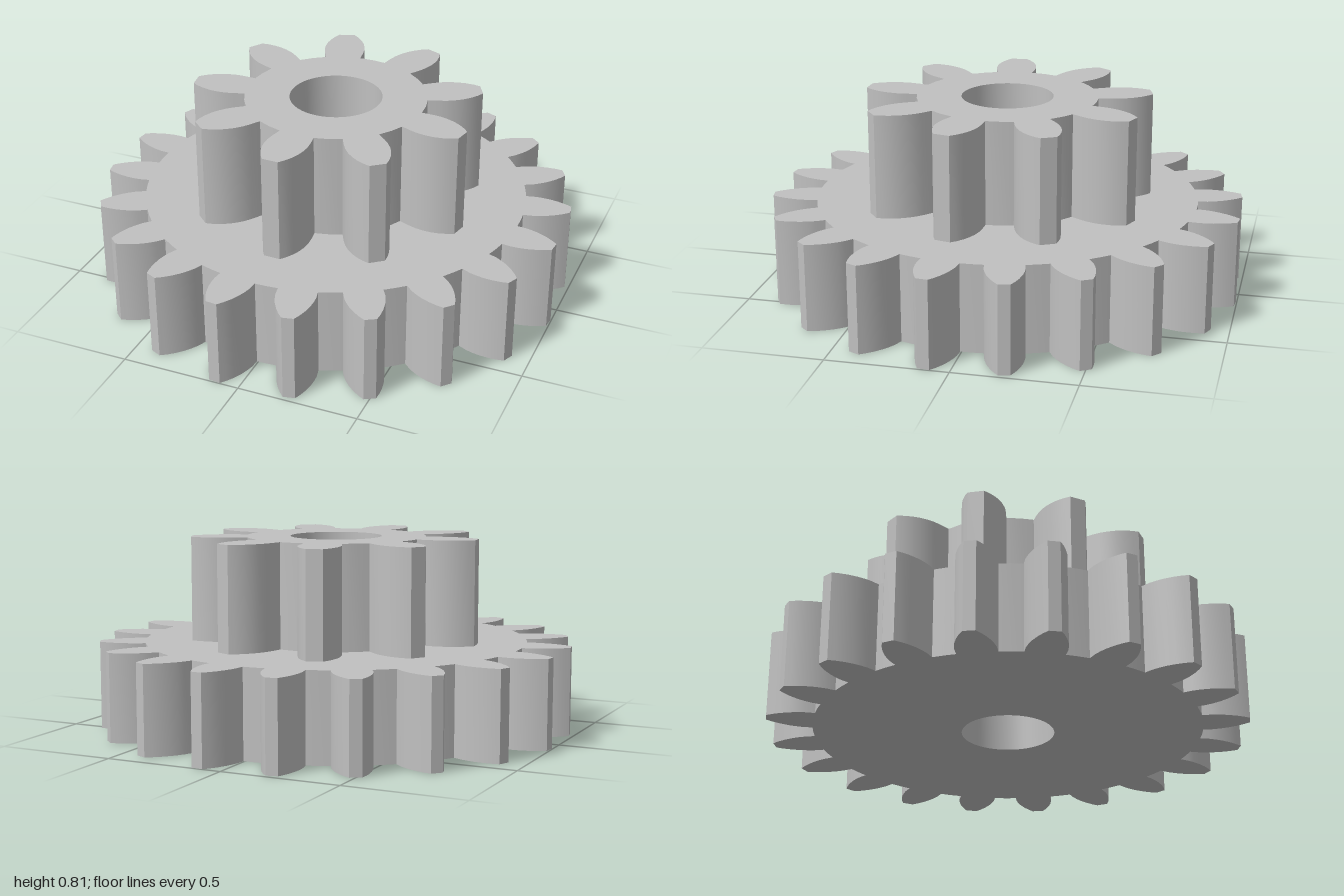
import * as THREE from 'three';
import { toCreasedNormals } from 'three/addons/utils/BufferGeometryUtils.js';

const BORE = 0.193;

// flank: [radius, half angle in degrees] from root to tip of one tooth
function gearGeometry(teeth, firstAngle, flank, height) {
  const points = [];
  const add = (r, deg) => {
    const a = THREE.MathUtils.degToRad(deg);
    points.push(new THREE.Vector2(r * Math.sin(a), r * Math.cos(a)));
  };
  const pitch = 360 / teeth;
  for (let i = 0; i < teeth; i++) {
    const centre = firstAngle + i * pitch;
    for (const [r, half] of flank) add(r, centre - half);
    for (const [r, half] of [...flank].reverse()) add(r, centre + half);
    // middle of the valley keeps the root round
    add(flank[0][0], centre + pitch / 2);
  }
  const shape = new THREE.Shape(points);
  const hole = new THREE.Path();
  hole.absarc(0, 0, BORE, 0, Math.PI * 2, false);
  shape.holes.push(hole);
  const geometry = new THREE.ExtrudeGeometry(shape, {
    depth: height, bevelEnabled: false, curveSegments: 32,
  });
  geometry.rotateX(-Math.PI / 2);
  return toCreasedNormals(geometry, THREE.MathUtils.degToRad(20));
}

export function createModel() {
  const group = new THREE.Group();
  group.name = 'doubleGear';
  const grey = new THREE.MeshStandardMaterial({ color: 0xc0c0c0 });
  grey.name = 'light grey';

  // Wide lower gear with 20 teeth
  const lower = new THREE.Mesh(gearGeometry(20, 6, [
    [0.81, 5.6], [0.85, 5.4], [0.88, 4.95], [0.91, 4.35],
    [0.945, 3.4], [0.975, 2.4], [1.0, 1.4],
  ], 0.37), grey);
  lower.name = 'lowerGear';
  group.add(lower);

  // Narrow upper gear with 9 teeth
  const upper = new THREE.Mesh(gearGeometry(9, 22.2, [
    [0.381, 11.3], [0.43, 11.2], [0.465, 10.8], [0.5, 9.8],
    [0.53, 8.6], [0.56, 7.0], [0.59, 5.0], [0.612, 3.2],
  ], 0.44), grey);
  upper.name = 'upperGear';
  upper.position.y = 0.37;
  group.add(upper);

  return group;
}
